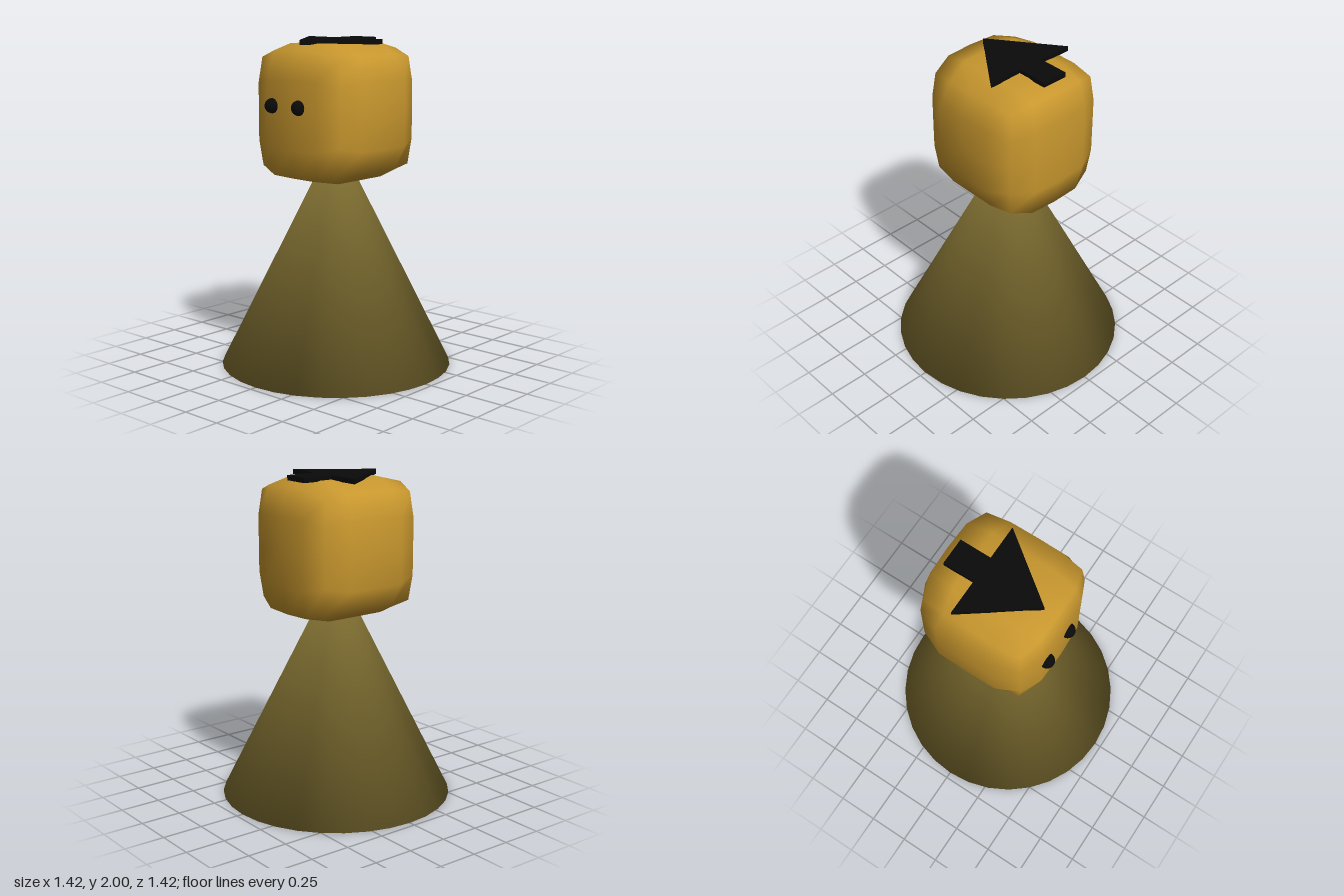
import * as THREE from 'three';
import { mergeVertices } from 'three/addons/utils/BufferGeometryUtils.js';

const paint = (color) => new THREE.MeshStandardMaterial({ color });

// Cone whose soft normals roll over the rim onto the base
function makeBody(radius, height) {
  const geo = new THREE.ConeGeometry(radius, height, 32).translate(0, height / 2, 0);
  const p = geo.attributes.position;
  const n = geo.attributes.normal;
  for (let i = 0; i < p.count; i++) {
    if (p.getY(i) > height / 2) n.setXYZ(i, 0, 1, 0);
    else n.setXYZ(i, 0.863 * p.getX(i) / radius, -0.505, 0.863 * p.getZ(i) / radius);
  }
  return geo;
}

// Soft cube: boxy seen from the side, rounder across its width
function makeHead(width, height, depth) {
  let geo = new THREE.BoxGeometry(2, 2, 2, 4, 4, 4);
  geo.deleteAttribute('uv');
  geo.deleteAttribute('normal');
  geo = mergeVertices(geo);
  const p = geo.attributes.position;
  const v = new THREE.Vector3();
  const round = 3.8, boxy = 7;
  for (let i = 0; i < p.count; i++) {
    v.fromBufferAttribute(p, i);
    const side = (Math.abs(v.y) ** boxy + Math.abs(v.z) ** boxy) ** (1 / boxy);
    v.divideScalar((Math.abs(v.x) ** round + side ** round) ** (1 / round));
    p.setXYZ(i, v.x * width / 2, v.y * height / 2, v.z * depth / 2);
  }
  geo.computeVertexNormals();
  return geo;
}

// Flat arrow pointing to the front, with its top at y = 0
function makeArrow() {
  const outline = [
    [-0.13, -0.33], [0.035, -0.33], [0.035, -0.135], [0.25, -0.135],
    [-0.05, 0.265], [-0.345, -0.135], [-0.13, -0.135],
  ].map(([x, z]) => new THREE.Vector2(x, z));
  const geo = new THREE.ExtrudeGeometry(new THREE.Shape(outline), { depth: 0.03, bevelEnabled: false });
  return geo.rotateX(Math.PI / 2);
}

export function createModel() {
  const model = new THREE.Group();
  const black = paint(0x0a0a0a);
  const add = (name, geo, material, x, y, z) => {
    const mesh = new THREE.Mesh(geo, material);
    mesh.name = name;
    mesh.position.set(x, y, z);
    model.add(mesh);
  };

  add('body', makeBody(0.71, 1.42), paint(0x8a7836), 0, 0, 0);
  add('head', makeHead(0.785, 0.83, 0.795), paint(0xc8972e), -0.02, 1.565, -0.02);
  add('arrow', makeArrow(), black, 0, 2, 0);

  // Eyes, half sunk into the face
  const eye = new THREE.SphereGeometry(0.045, 24, 16);
  add('rightEye', eye, black, -0.173, 1.615, 0.373);
  add('leftEye', eye, black, 0.042, 1.615, 0.373);
  return model;
}
